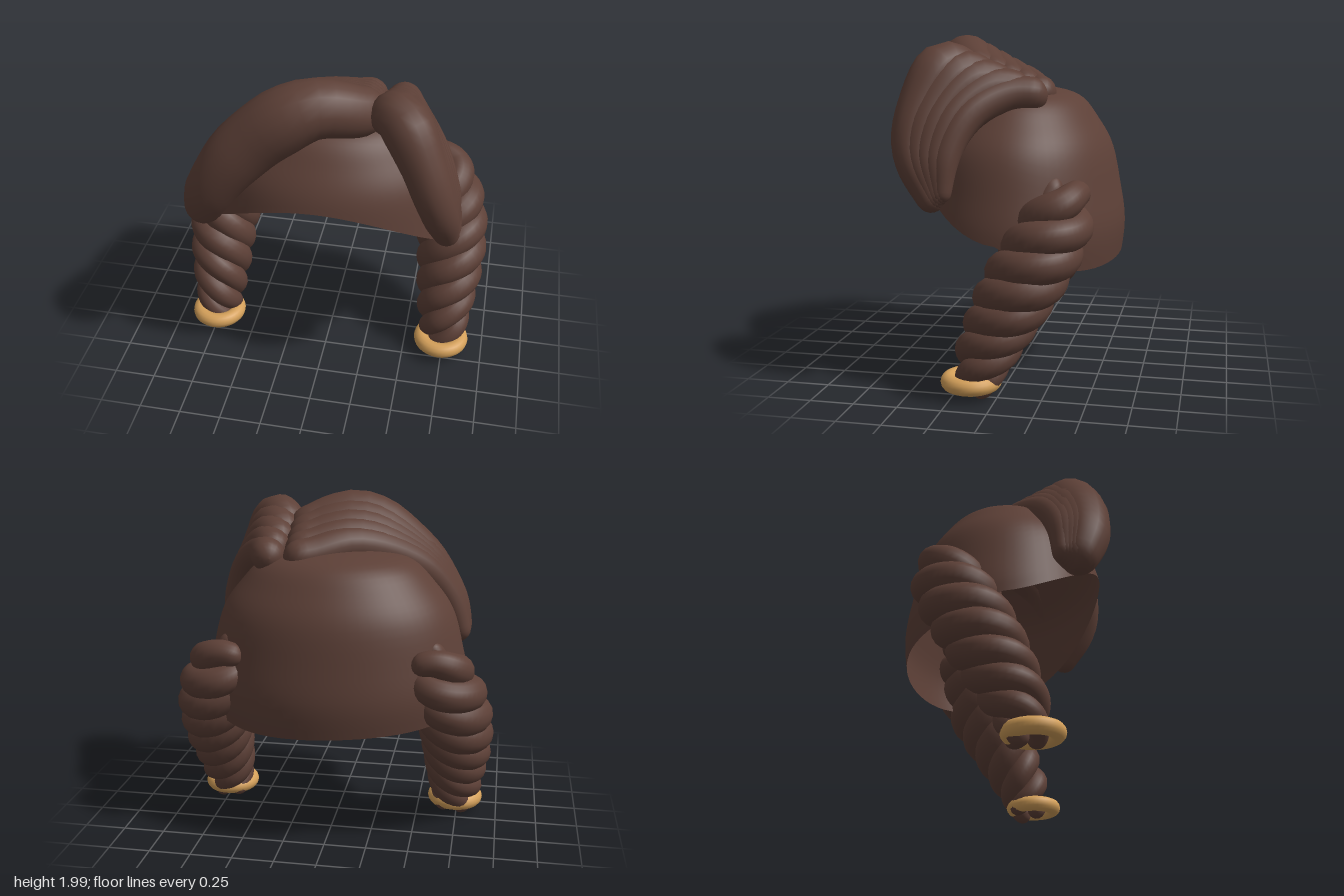
import * as THREE from 'three';

const hair = new THREE.MeshStandardMaterial({ color: 0x5d4037, side: THREE.DoubleSide });
hair.name = 'brown hair';
const gold = new THREE.MeshStandardMaterial({ color: 0xd4a05a });
gold.name = 'gold band';

const V = (p) => new THREE.Vector3(p[0], p[1], p[2]);

// Interpolate a list of radii at t in 0..1
function sample(list, t) {
  const f = t * (list.length - 1);
  const i = Math.min(Math.floor(f), list.length - 2);
  return THREE.MathUtils.lerp(list[i], list[i + 1], THREE.MathUtils.smoothstep(f - i, 0, 1) * 0.5 + (f - i) * 0.5);
}

// Surface from a grid of points; rows run along, columns run around and close
function loft(rows) {
  const cols = rows[0].length, pos = [], index = [];
  rows.forEach((row) => row.forEach((p) => pos.push(p.x, p.y, p.z)));
  for (let i = 0; i < rows.length - 1; i++) {
    for (let j = 0; j < cols; j++) {
      const k = (j + 1) % cols;
      const a = i * cols + j, c = i * cols + k;
      index.push(a, c, a + cols, c, c + cols, a + cols);
    }
  }
  const geo = new THREE.BufferGeometry();
  geo.setAttribute('position', new THREE.Float32BufferAttribute(pos, 3));
  geo.setIndex(index);
  geo.computeVertexNormals();
  return geo;
}

// Tapered lock of hair with rounded ends
function lock(points, radii, name, steps = 32, sides = 18) {
  const curve = new THREE.CatmullRomCurve3(points);
  const length = curve.getLength();
  const normal = new THREE.Vector3(0.3, 0.2, 1);
  const rows = [];
  for (let i = 0; i <= steps; i++) {
    const t = (1 - Math.cos((Math.PI * i) / steps)) / 2;
    const c = curve.getPointAt(t), tan = curve.getTangentAt(t);
    normal.addScaledVector(tan, -normal.dot(tan)).normalize();
    const side = tan.clone().cross(normal);
    let r = sample(radii, t);
    const d = Math.min(1, (Math.min(t, 1 - t) * length) / r);
    r *= Math.max(0.01, Math.sqrt(1 - (1 - d) ** 2));
    const row = [];
    for (let j = 0; j < sides; j++) {
      const a = (j / sides) * Math.PI * 2;
      row.push(c.clone().addScaledVector(normal, r * Math.cos(a)).addScaledVector(side, r * Math.sin(a)));
    }
    rows.push(row);
  }
  const mesh = new THREE.Mesh(loft(rows), hair);
  mesh.name = name;
  return mesh;
}

// Open cap: one profile cut at a rim that rises at the brow and drops at the nape
function makeCap() {
  const profile = new THREE.SplineCurve([
    [0, 1.69], [0.3, 1.675], [0.56, 1.62], [0.73, 1.49], [0.87, 1.33], [0.95, 1.1], [1, 0.88], [0.965, 0.66],
  ].map((p) => new THREE.Vector2(...p)));
  const cutAt = (y) => {
    let lo = 0, hi = 1;
    for (let k = 0; k < 24; k++) {
      const m = (lo + hi) / 2;
      if (profile.getPoint(m).y > y) lo = m; else hi = m;
    }
    return lo;
  };
  const rows = [], cols = 64, steps = 28;
  for (let i = 0; i <= steps; i++) rows.push([]);
  for (let j = 0; j < cols; j++) {
    const th = (j / cols) * Math.PI * 2, c = Math.cos(th), s = Math.sin(th);
    const rim = c > 0 ? 0.86 + 0.41 * c ** 1.6 : 0.86 - 0.16 * (1 - (1 + c) ** 2) + 0.05 * s * c;
    const end = cutAt(rim);
    rows.forEach((row, i) => {
      const p = profile.getPoint((end * i) / steps);
      row.push(new THREE.Vector3(0.8 * p.x * s, p.y, (c > 0 ? 0.64 : 0.615) * p.x * c));
    });
  }
  const cap = new THREE.Mesh(loft(rows), hair);
  cap.name = 'cap';
  return cap;
}

// Swept fringe: locks blended from a thick front one to a thin back one
function makeFringe(name, front, back, rFront, rBack, count) {
  const group = new THREE.Group();
  group.name = name;
  for (let k = 0; k < count; k++) {
    const f = k / (count - 1);
    const pts = front.map((p, i) => V(p).lerp(V(back[i]), f));
    const radii = rFront.map((r, i) => THREE.MathUtils.lerp(r, rBack[i], f));
    group.add(lock(pts, radii, name + 'Lock'));
  }
  return group;
}

// Pigtail of three tightly wound strands about a curved centre line, with a band
function makePigtail(s, name) {
  const group = new THREE.Group();
  group.name = name;
  const centre = new THREE.CatmullRomCurve3([
    [0.52, 1.13, -0.33], [0.63, 1.04, -0.335], [0.71, 0.85, -0.25], [0.745, 0.6, -0.11],
    [0.74, 0.35, 0.02], [0.735, 0.15, 0.1], [0.71, 0.02, 0.1],
  ].map(V));
  const size = [0.14, 0.2, 0.22, 0.22, 0.21, 0.19, 0.165, 0.11];
  const strands = 3, turns = 2.7, n = 60;
  for (let k = 0; k < strands; k++) {
    const pts = [];
    for (let i = 0; i <= n; i++) {
      const t = i / n, tan = centre.getTangentAt(t);
      const e1 = new THREE.Vector3(1, 0, 0);
      e1.addScaledVector(tan, -e1.dot(tan)).normalize();
      const e2 = tan.clone().cross(e1);
      const a = (k / strands + turns * t) * Math.PI * 2, d = 0.55 * sample(size, t);
      const p = centre.getPointAt(t).addScaledVector(e1, d * Math.cos(a)).addScaledVector(e2, d * Math.sin(a));
      p.x *= s;
      pts.push(p);
    }
    group.add(lock(pts, size.map((r) => r * 0.48), 'strand', 110, 16));
  }
  const band = new THREE.Mesh(new THREE.TorusGeometry(0.125, 0.047, 14, 40), gold);
  band.name = 'hairBand';
  band.rotation.x = Math.PI / 2;
  band.position.set(0.738 * s, 0.08, 0.15);
  group.add(band);
  return group;
}

export function createModel() {
  const model = new THREE.Group();
  model.name = 'wig';
  model.add(makeCap());

  // Wide fringe sweeping to the right
  model.add(makeFringe('wideFringe',
    [[0.3, 1.73, 0.14], [0.18, 1.77, 0.26], [-0.06, 1.815, 0.37], [-0.38, 1.6, 0.42], [-0.6, 1.32, 0.455], [-0.72, 1.03, 0.39]],
    [[0.29, 1.65, -0.18], [0.15, 1.66, -0.1], [-0.08, 1.7, 0.04], [-0.42, 1.57, 0.23], [-0.63, 1.36, 0.32], [-0.75, 1.07, 0.33]],
    [0.13, 0.16, 0.188, 0.18, 0.15, 0.1], [0.1, 0.11, 0.115, 0.11, 0.085, 0.06], 5));

  // Narrow fringe falling to the left
  model.add(makeFringe('narrowFringe',
    [[0.32, 1.72, 0.2], [0.44, 1.81, 0.36], [0.56, 1.64, 0.46], [0.67, 1.36, 0.5], [0.74, 1.03, 0.34]],
    [[0.37, 1.65, -0.21], [0.45, 1.65, 0.01], [0.59, 1.55, 0.19], [0.7, 1.34, 0.29], [0.75, 1.08, 0.31]],
    [0.12, 0.145, 0.12, 0.1, 0.07], [0.1, 0.105, 0.095, 0.08, 0.05], 5));

  model.add(makePigtail(1, 'leftPigtail'), makePigtail(-1, 'rightPigtail'));
  return model;
}
